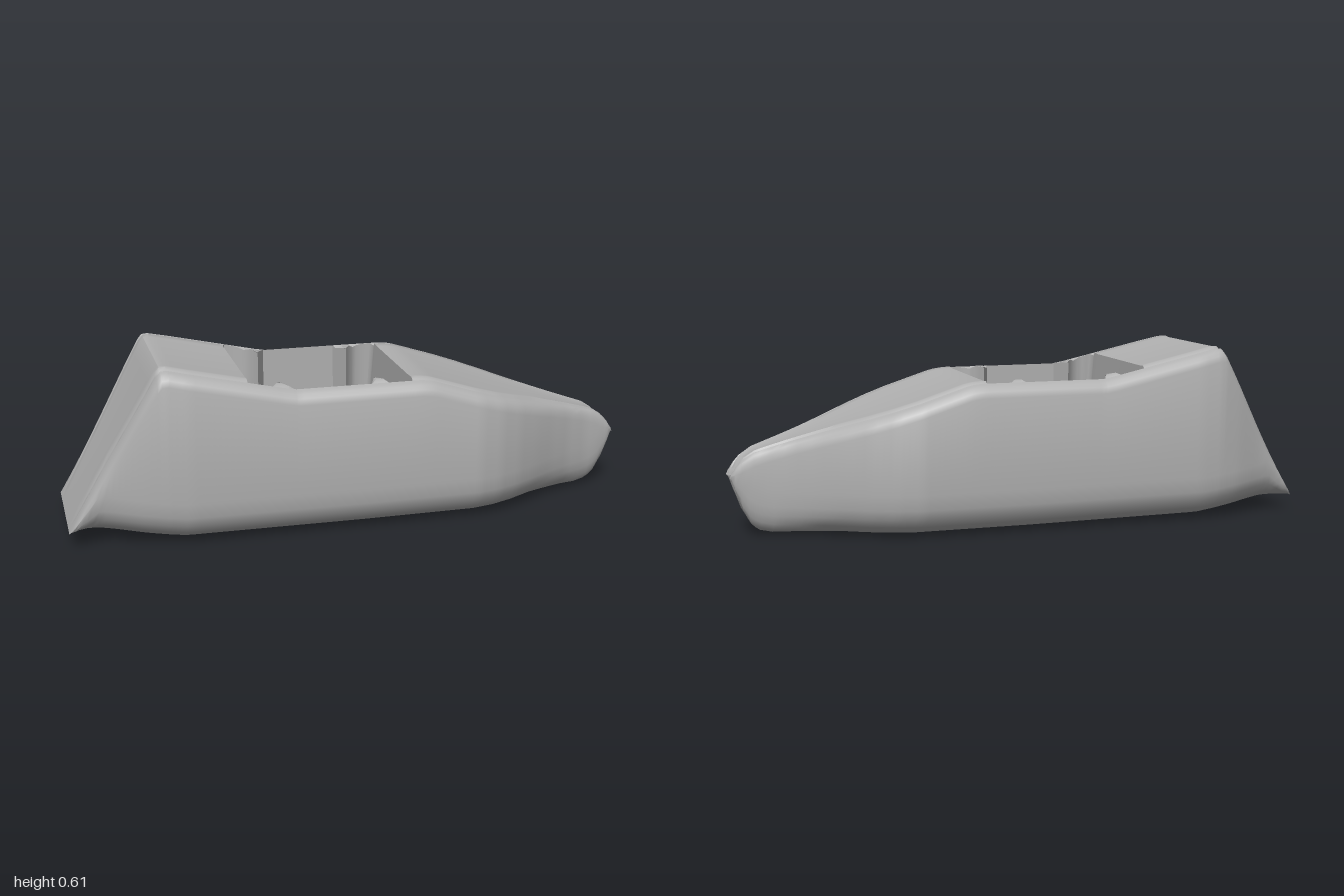
import * as THREE from 'three';
import { toCreasedNormals } from 'three/addons/utils/BufferGeometryUtils.js';

// Piecewise linear curve through [x, value] pairs
const curve = (...p) => (x) => {
  if (x <= p[0][0]) return p[0][1];
  for (let i = 1; i < p.length; i++) {
    if (x <= p[i][0]) {
      const [x0, y0] = p[i - 1], [x1, y1] = p[i];
      return y0 + (y1 - y0) * (x - x0) / (x1 - x0);
    }
  }
  return p[p.length - 1][1];
};

// Plan half-width, top line and keel line along the length
const width = curve([-1, 0.205], [-0.98, 0.22], [-0.85, 0.247], [-0.75, 0.28], [-0.68, 0.294], [-0.6, 0.302],
  [0.4, 0.302], [0.48, 0.284], [0.56, 0.25], [0.64, 0.205], [0.72, 0.156], [0.8, 0.113], [0.88, 0.082],
  [0.94, 0.069], [0.98, 0.06], [1, 0.048]);
const top = curve([-1, 0.055], [-0.7, 0.585], [-0.685, 0.603], [-0.665, 0.605], [-0.28, 0.52], [-0.24, 0.513],
  [0.19, 0.513], [0.23, 0.508], [0.92, 0.287], [0.96, 0.265], [0.98, 0.245], [0.995, 0.22], [1, 0.2]);
const keel = curve([-1, 0.055], [-0.98, 0.047], [-0.62, 0.006], [0, 0.002], [0.86, 0.004], [0.91, 0.014],
  [0.94, 0.035], [0.965, 0.07], [0.985, 0.13], [0.997, 0.185], [1, 0.2]);

// Half-width of the cockpit opening, with a pointed rib near each end
const AFT = -0.4, FORE = 0.165, FLOOR = 0.08;
const opening = curve([AFT, 0.245], [-0.39, 0.26], [-0.345, 0.257], [-0.32, 0.247], [-0.3, 0.225], [-0.28, 0.19],
  [-0.247, 0.26], [0.014, 0.26], [0.046, 0.19], [0.066, 0.225], [0.086, 0.247], [0.11, 0.257], [0.155, 0.26], [FORE, 0.245]);

const wScale = (x) => Math.min(1, width(x) / 0.2);
const hScale = (x) => Math.min(1, (top(x) - keel(x)) / 0.2);
const rimZ = (x) => width(x) - 0.042 * wScale(x);

// Groove and raised step where the deck meets the gunwale
const groove = curve([0, 0], [0.014, -0.008], [0.032, 0.005], [0.06, 0.002]);
const deckY = (x, z) => top(x) + groove((rimZ(x) - Math.abs(z)) / wScale(x)) * hScale(x);

// Vertical notch that splits the tip of the bow
const notched = (x, y, z) => {
  const s = THREE.MathUtils.smoothstep(x, 0.88, 1);
  return [x - 0.036 * s * Math.max(0, 1 - Math.abs(z) / width(x)), y, z];
};

// Station positions between two ends
function stations(a, b) {
  const extra = [-0.985, -0.7, -0.685, -0.665, -0.39, -0.345, -0.247, 0.014, 0.046, 0.066, 0.086, 0.155,
    0.965, 0.985, 0.99, 0.995, 0.998];
  const xs = [a, b, ...extra];
  for (let i = -50; i <= 50; i++) xs.push(i / 50);
  return [...new Set(xs)].filter((x) => x >= a && x <= b).sort((p, q) => p - q);
}

// Surface skinned over rows of points
function skin(rows) {
  const n = rows[0].length, index = [];
  for (let i = 0; i < rows.length - 1; i++) {
    for (let j = 0; j < n - 1; j++) {
      const a = i * n + j, b = a + n;
      index.push(a, a + 1, b, b, a + 1, b + 1);
    }
  }
  const g = new THREE.BufferGeometry();
  g.setAttribute('position', new THREE.Float32BufferAttribute(rows.flat(2), 3));
  g.setIndex(index);
  return toCreasedNormals(g, 0.75);
}

// Outer shell section, from the left rim under the keel to the right rim
function hullRow(x) {
  const w = width(x), k = wScale(x), v = hScale(x), t = top(x), b = keel(x);
  const half = [[0.042, t], [0.03, t - 0.004 * v], [0.018, t - 0.011 * v], [0.007, t - 0.024 * v], [0, t - 0.045 * v],
    [0, b + 0.15 * v], [0.005, b + 0.1 * v], [0.016, b + 0.068 * v], [0.04, b + 0.038 * v], [0.075, b + 0.016 * v],
    [0.11, b + 0.007 * v]].map(([d, y]) => [w - d * k, y]);
  const all = [...half, [0, b], ...half.slice().reverse().map(([z, y]) => [-z, y])];
  return all.map(([z, y]) => notched(x, y, z));
}

const STEPS = [0, 0.007, 0.014, 0.023, 0.032, 0.06];

// Full-width deck section
function deckRow(x) {
  const zs = STEPS.map((d) => rimZ(x) - d * wScale(x));
  return [...zs.map((z) => -z), 0, ...zs.reverse()].map((z) => notched(x, deckY(x, z), z));
}

// Side deck section beside the cockpit
function sideRow(x, side) {
  const zs = STEPS.map((d) => Math.max(rimZ(x) - d, Math.min(opening(x), rimZ(x))));
  const row = zs.map((z) => [x, deckY(x, z), side * z]);
  return side > 0 ? row.reverse() : row;
}

export function createModel() {
  const model = new THREE.Group();
  const grey = new THREE.MeshStandardMaterial({ color: 0xb0b0b0, side: THREE.DoubleSide });
  grey.name = 'hull grey';
  const add = (name, rows) => {
    const mesh = new THREE.Mesh(skin(rows), grey);
    mesh.name = name;
    model.add(mesh);
  };

  // Shell, with the sloping transom formed by the aft deck
  add('hull', stations(-1, 1).map(hullRow));
  add('aftDeckAndTransom', stations(-1, AFT).map(deckRow));
  add('foreDeck', stations(FORE, 1).map(deckRow));

  const pit = stations(AFT, FORE);
  add('leftSideDeck', pit.map((x) => sideRow(x, 1)));
  add('rightSideDeck', pit.map((x) => sideRow(x, -1)));

  // Cockpit walls, followed once around the opening
  const endZ = [0.235, 0.225, 0.2, 0, -0.2, -0.225, -0.235];
  const outline = [
    ...pit.slice().reverse().map((x) => [x, opening(x)]),
    ...endZ.map((z) => [AFT, z]),
    ...pit.map((x) => [x, -opening(x)]),
    ...endZ.slice().reverse().map((z) => [FORE, z]),
  ];
  outline.push(outline[0]);
  const footX = (x) => THREE.MathUtils.clamp(x, AFT + 0.037, FORE - 0.032);
  add('cockpitWalls', outline.map(([x, z]) => [[x, deckY(x, z), z], [footX(x), FLOOR, z]]));

  // Cockpit floor
  add('cockpitFloor', pit.map((x) => [[footX(x), FLOOR, -opening(x)], [footX(x), FLOOR, opening(x)]]));

  return model;
}
